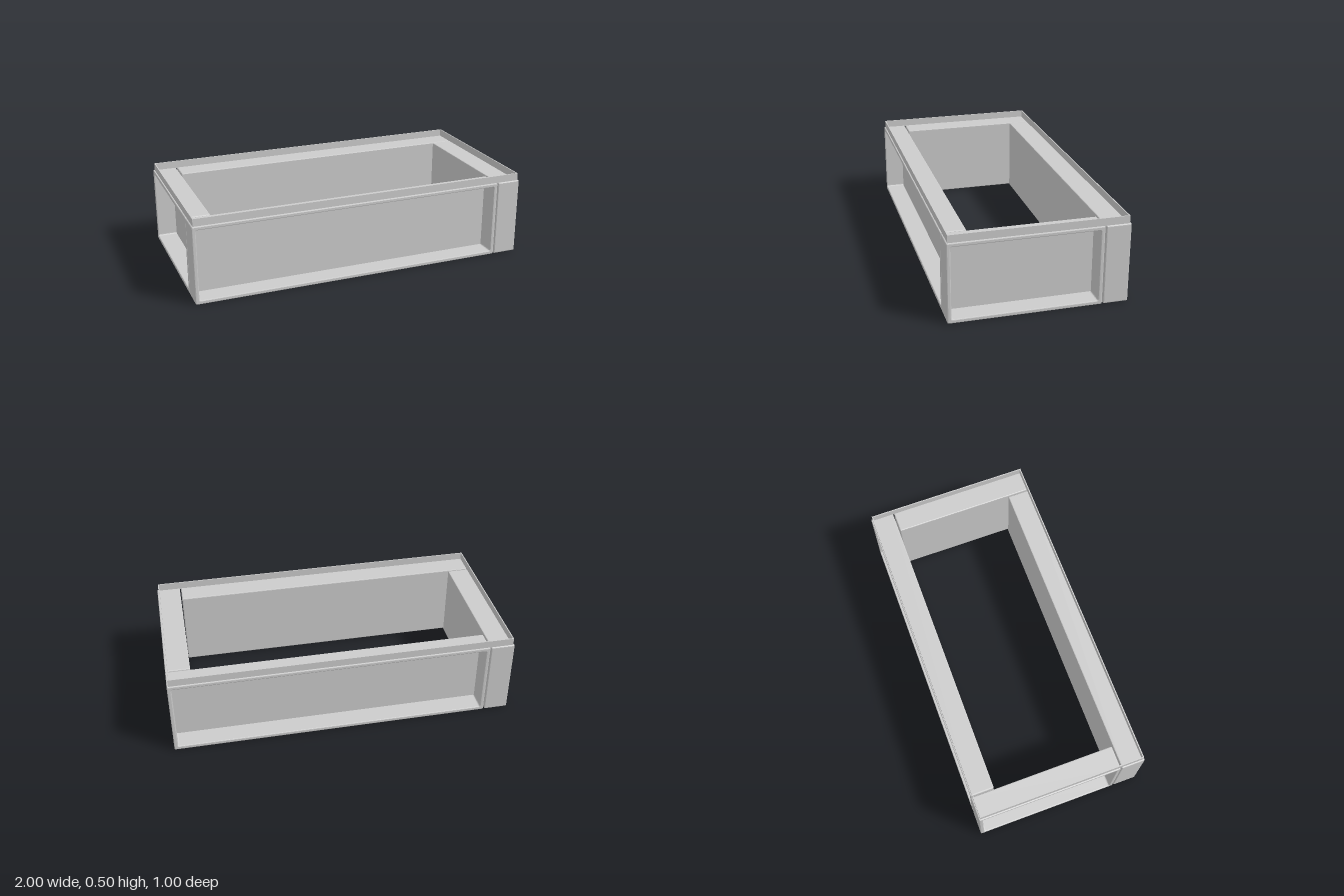
import * as THREE from 'three';

const HEIGHT = 0.457, DEPTH = 0.14, BORDER = 0.022, BEVEL = 0.005;
const material = new THREE.MeshStandardMaterial({ color: 0xcccccc });

// Traces a rounded rectangle, with its lower left corner at x, y
function roundedRect(path, x, y, w, h, r) {
  path.moveTo(x + r, y);
  path.lineTo(x + w - r, y);
  path.quadraticCurveTo(x + w, y, x + w, y + r);
  path.lineTo(x + w, y + h - r);
  path.quadraticCurveTo(x + w, y + h, x + w - r, y + h);
  path.lineTo(x + r, y + h);
  path.quadraticCurveTo(x, y + h, x, y + h - r);
  path.lineTo(x, y + r);
  path.quadraticCurveTo(x, y, x + r, y);
  return path;
}

function addMesh(parent, name, geometry, x, y, z) {
  const mesh = new THREE.Mesh(geometry, material);
  mesh.name = name;
  mesh.position.set(x, y, z);
  parent.add(mesh);
}

// Wall unit: a shallow tray on edge, open outward (+z), closed on the inside
function wallUnit(length) {
  const unit = new THREE.Group();
  const holeW = length - 2 * BORDER, holeH = HEIGHT - 2 * BORDER;
  const shape = roundedRect(new THREE.Shape(), 0, 0, length, HEIGHT, 0.008);
  shape.holes.push(roundedRect(new THREE.Path(), BORDER, BORDER, holeW, holeH, 0.01));
  const frame = new THREE.ExtrudeGeometry(shape, {
    depth: DEPTH - 2 * BEVEL, bevelThickness: BEVEL, bevelSize: BEVEL,
    bevelOffset: -BEVEL, bevelSegments: 2, curveSegments: 4,
  });
  addMesh(unit, 'wallFrame', frame, 0, 0, BEVEL);
  addMesh(unit, 'wallPanel', new THREE.BoxGeometry(holeW + 0.016, holeH + 0.016, 0.024),
    length / 2, HEIGHT / 2, 0.012);
  return unit;
}

export function createModel() {
  const model = new THREE.Group();
  model.name = 'planterFrame';

  // Four sides in a pinwheel: each one starts at a corner and butts into the next
  ['front', 'left', 'back', 'right'].forEach((side, i) => {
    const half = i % 2 ? 0.5 : 1, out = i % 2 ? 1 : 0.5;
    const group = new THREE.Group();
    group.name = side + 'Side';
    group.rotation.y = i * Math.PI / 2;

    const wall = wallUnit(2 * half - 0.147);
    wall.name = side + 'Wall';
    wall.position.set(-half, 0, out - DEPTH);
    group.add(wall);

    // Thin upright lip along the outer top edge
    addMesh(group, side + 'Lip', new THREE.BoxGeometry(2 * half - 0.016, 0.046, 0.006),
      0, 0.477, out - 0.011);
    model.add(group);
  });
  return model;
}
